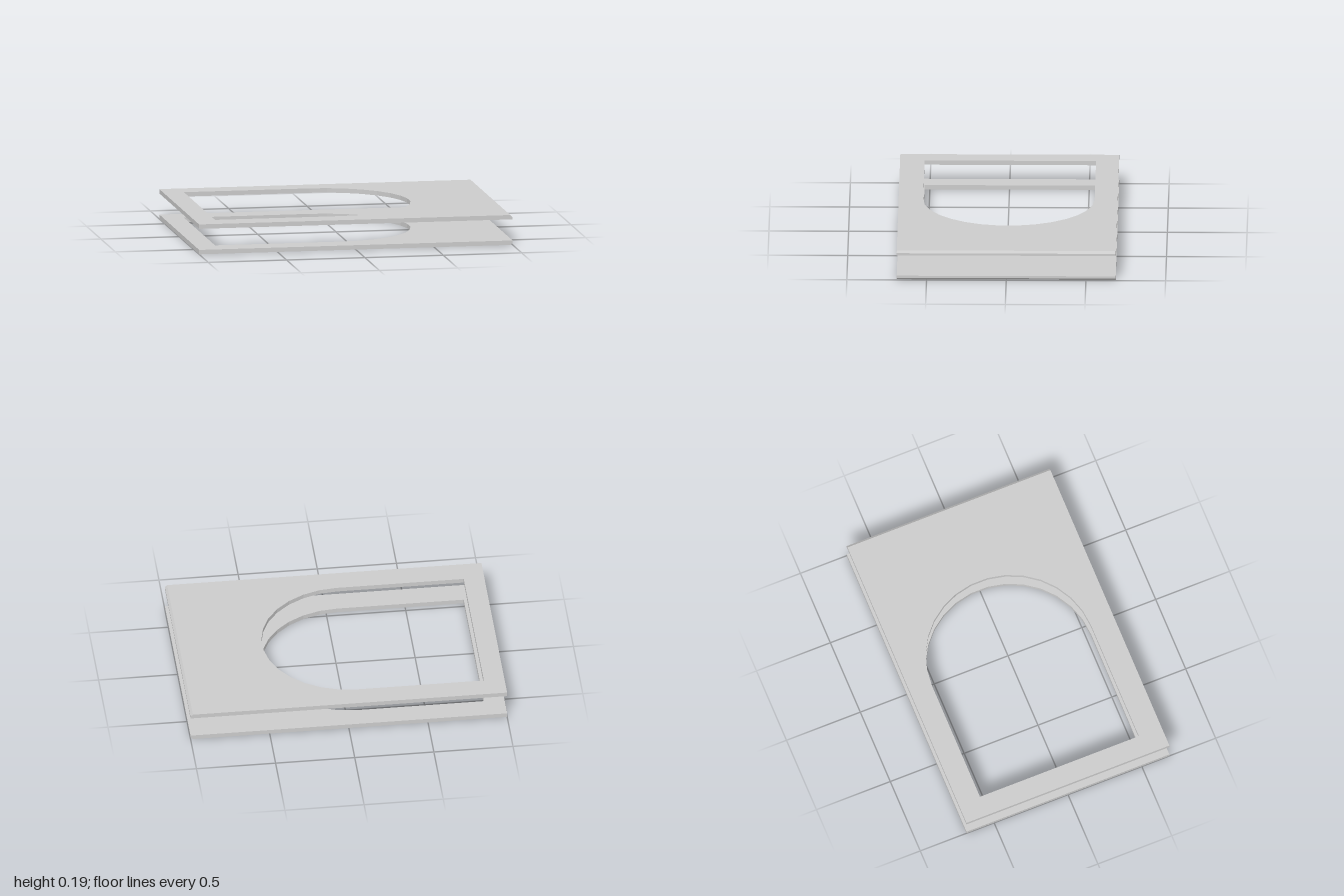
import * as THREE from 'three';

const THICK = 0.028, BEVEL = 0.015;

// Rectangle with a D-shaped opening: square at -x, half round towards +x
function plateShape() {
  const w = 1, d = 0.687;
  const shape = new THREE.Shape([
    new THREE.Vector2(-w, -d), new THREE.Vector2(w, -d),
    new THREE.Vector2(w, d), new THREE.Vector2(-w, d),
  ]);
  const cx = -0.07, cy = 0.005, r = 0.538, facets = 15;
  const points = [new THREE.Vector2(-0.87, cy + r)];
  for (let i = 0; i <= facets; i++) {
    const a = Math.PI / 2 - (Math.PI * i) / facets;
    points.push(new THREE.Vector2(cx + r * Math.cos(a), cy + r * Math.sin(a)));
  }
  points.push(new THREE.Vector2(-0.87, cy - r));
  shape.holes.push(new THREE.Path(points));
  return shape;
}

// Flat plate whose +x edge is bevelled on its top or bottom face
function makePlate(name, y, bevelOnTop) {
  const geometry = new THREE.ExtrudeGeometry(plateShape(), {
    depth: THICK, steps: 2, bevelEnabled: false,
  });
  const pos = geometry.attributes.position;
  const bevelZ = bevelOnTop ? THICK : 0;
  for (let i = 0; i < pos.count; i++) {
    if (pos.getX(i) > 0.999 && Math.abs(pos.getZ(i) - bevelZ) < 1e-4) {
      pos.setX(i, 1 - BEVEL);
    }
  }
  geometry.rotateX(-Math.PI / 2);
  geometry.computeVertexNormals();
  const mesh = new THREE.Mesh(
    geometry,
    new THREE.MeshStandardMaterial({ color: 0xcccccc, flatShading: true })
  );
  mesh.name = name;
  mesh.position.y = y;
  return mesh;
}

export function createModel() {
  const group = new THREE.Group();
  group.name = 'pairedPlates';
  group.add(makePlate('lowerPlate', 0, false));
  group.add(makePlate('upperPlate', 0.162, true));
  return group;
}
